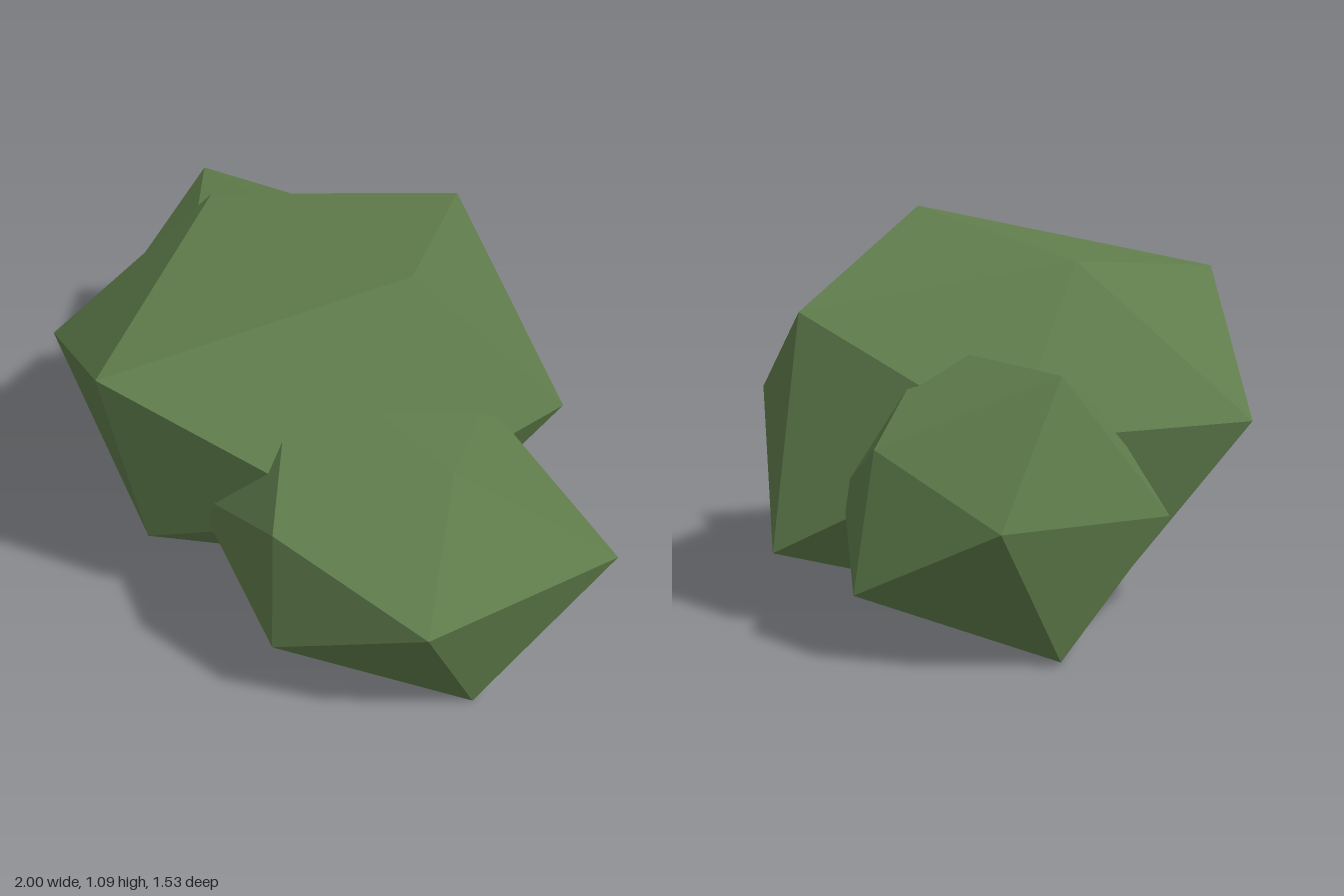
import * as THREE from 'three';

const T = (1 + Math.sqrt(5)) / 2;

// The twelve corner directions of an icosahedron
const CORNERS = [
  [-1, T, 0], [1, T, 0], [-1, -T, 0], [1, -T, 0],
  [0, -1, T], [0, 1, T], [0, -1, -T], [0, 1, -T],
  [T, 0, -1], [T, 0, 1], [-T, 0, -1], [-T, 0, 1],
].map((c) => new THREE.Vector3(...c).normalize());

const SQUASH = 0.75; // clumps are flattened vertically

// Flat-shaded leafy clump: an icosahedron whose corners each get their own radius
function makeClump(name, center, radii, material) {
  const geometry = new THREE.IcosahedronGeometry(1, 0);
  const pos = geometry.attributes.position;
  const v = new THREE.Vector3();
  for (let i = 0; i < pos.count; i++) {
    v.fromBufferAttribute(pos, i);
    const corner = CORNERS.findIndex((c) => c.dot(v) > 0.99);
    v.multiplyScalar(radii[corner]);
    pos.setXYZ(i, v.x, v.y * SQUASH, v.z);
  }
  geometry.computeVertexNormals();
  const mesh = new THREE.Mesh(geometry, material);
  mesh.name = name;
  mesh.position.set(...center);
  return mesh;
}

export function createModel() {
  const group = new THREE.Group();
  group.name = 'bush';

  const leafGreen = new THREE.MeshStandardMaterial({ color: 0x607d4c });
  leafGreen.name = 'leafGreen';

  group.add(
    // Large middle clump
    makeClump('mainClump', [-0.12, 0.55, 0.005],
      [0.685, 0.837, 0.837, 0.78, 0.71, 0.89, 0.88, 0.776, 0.776, 0.72, 0.637, 0.752], leafGreen),
    // Small clump at the front, on the +x side
    makeClump('frontClump', [0.44, 0.435, 0.235],
      [0.665, 0.495, 0.449, 0.685, 0.498, 0.488, 0.595, 0.49, 0.658, 0.505, 0.55, 0.54], leafGreen),
    // Small clump at the back, on the -x side
    makeClump('backClump', [-0.58, 0.38, -0.33],
      [0.58, 0.59, 0.585, 0.435, 0.51, 0.45, 0.511, 0.435, 0.45, 0.5, 0.447, 0.494], leafGreen),
  );
  return group;
}
